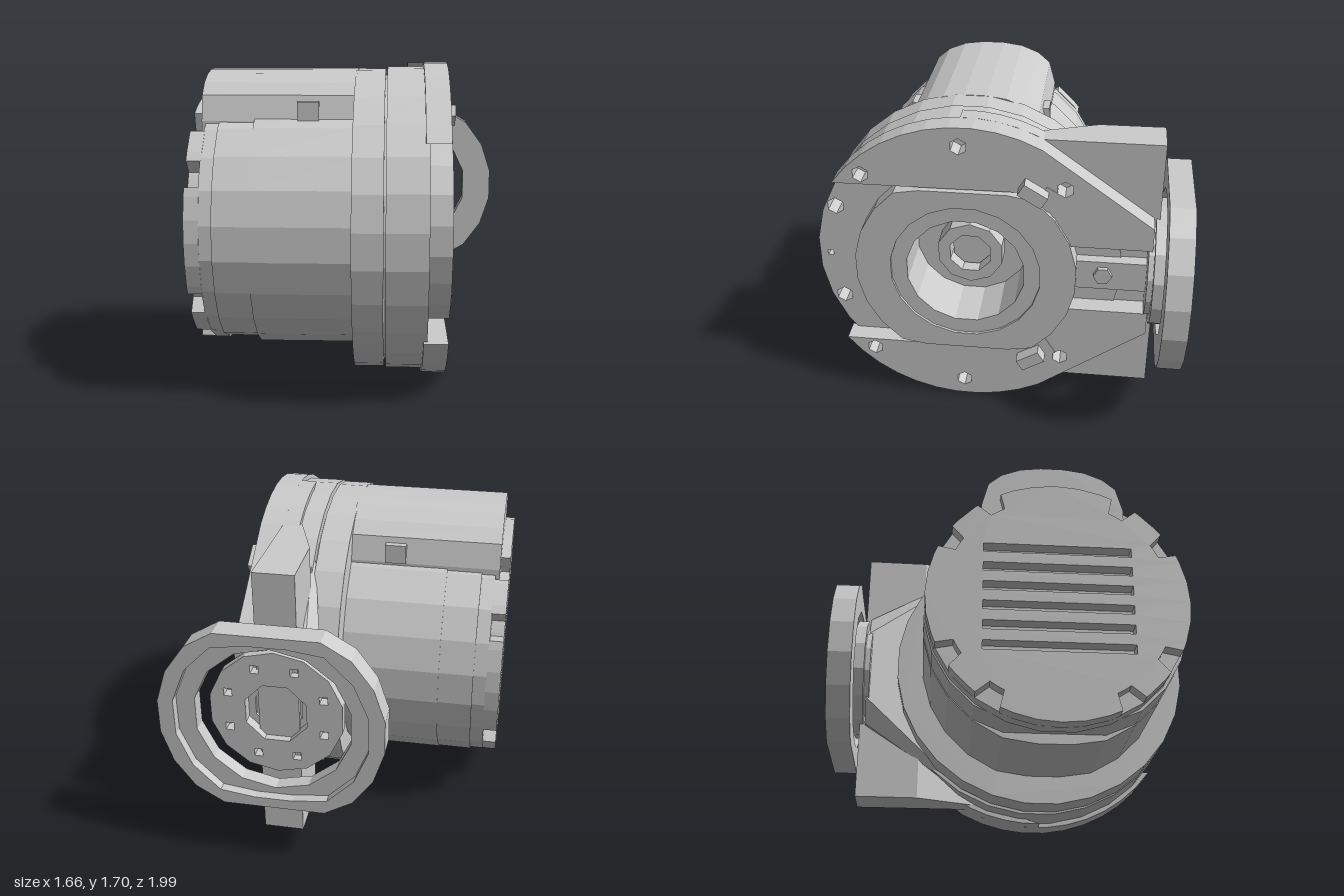
import * as THREE from 'three';
import { ConvexGeometry } from 'three/addons/geometries/ConvexGeometry.js';

const mat = new THREE.MeshStandardMaterial({ color: 0xcccccc, flatShading: true });

function add(parent, name, geometry) {
  const mesh = new THREE.Mesh(geometry, mat);
  mesh.name = name;
  parent.add(mesh);
  return mesh;
}

// Regular polygon, optionally flattened at +-clip
function ngon(r, n, cx = 0, cy = 0, clip = Infinity) {
  return Array.from({ length: n }, (_, i) => {
    const a = ((i + 0.5) / n) * Math.PI * 2;
    const y = Math.max(-clip, Math.min(clip, r * Math.sin(a)));
    return new THREE.Vector2(cx + r * Math.cos(a), cy + y);
  });
}

// Circle segment closed by its chord, mirrored in y by s
function segment(r, a0, a1, n, s) {
  return Array.from({ length: n + 1 }, (_, i) => {
    const a = THREE.MathUtils.lerp(a0, a1, i / n);
    return new THREE.Vector2(r * Math.cos(a), s * r * Math.sin(a));
  });
}

const outlineOf = (points, s = 1) => points.map(([x, y]) => new THREE.Vector2(x, s * y));

// Plate from outline and holes, between two depths
function plate(points, from, to, holes = []) {
  const shape = new THREE.Shape(points);
  for (const h of holes) shape.holes.push(new THREE.Path(h));
  return new THREE.ExtrudeGeometry(shape, { depth: to - from, bevelEnabled: false }).translate(0, 0, from);
}

function hull(rows) {
  return new ConvexGeometry(rows.map(p => new THREE.Vector3(...p)));
}

export function createModel() {
  const model = new THREE.Group();

  // Shaft group: local z runs along the shaft, local x points to the outlet
  const body = new THREE.Group();
  body.name = 'motorAndCasing';
  body.position.set(0, 0.85, 0.17);
  body.rotation.y = Math.PI / 2;
  model.add(body);

  // Motor barrel, cut flatter underneath near the cover
  add(body, 'motorBarrel', plate(ngon(0.685, 24, -0.02, 0, 0.66), -0.51, 0.01));
  add(body, 'barrelEnd', plate(ngon(0.68, 24, -0.02, 0, 0.605), -0.69, -0.51));

  // Terminal box on top
  const half = [[0.375, 0.45], [0.375, 0.57], [0.34, 0.7], [0.27, 0.76], [0.17, 0.8], [0.06, 0.815]];
  const profile = outlineOf([...half, ...half.map(([x, y]) => [-x, y]).reverse()]);
  add(body, 'terminalBox', plate(profile, -0.78, 0.01));
  for (const s of [-1, 1]) {
    add(body, 'boxClip', new THREE.BoxGeometry(0.05, 0.1, 0.11).translate(s * 0.36, 0.62, -0.235));
  }

  // End cover: plain rim, then a notched face with cooling slots
  const cover = new THREE.Group();
  cover.name = 'endCover';
  cover.position.x = -0.015;
  body.add(cover);
  add(cover, 'coverRim', plate(ngon(0.668, 24), -0.76, -0.685));
  const notches = [30, 58, 122, 150, 210, 238, 302, 330];
  const outline = [];
  for (let a = 0; a < 360; a += 2) {
    const inNotch = notches.some(n => Math.abs(a - n) <= 4);
    const edge = notches.some(n => Math.abs(a - n) === 6);
    if (!inNotch && !edge && a % 10) continue;
    const r = inNotch ? 0.58 : 0.668;
    const t = THREE.MathUtils.degToRad(a);
    outline.push(new THREE.Vector2(r * Math.cos(t), r * Math.sin(t)));
  }
  const slots = [];
  for (let i = 0; i < 6; i++) {
    const y = -0.3 + i * 0.11;
    slots.push(outlineOf([[-0.38, y], [0.38, y], [0.38, y + 0.05], [-0.38, y + 0.05]]));
  }
  add(cover, 'slottedCover', plate(outline, -0.83, -0.755, slots));

  // Two round flanges with a thin gap, joined by a core
  add(body, 'motorFlange', plate(ngon(0.818, 28, -0.01), 0, 0.155));
  add(body, 'flangeCore', plate(ngon(0.78, 28), 0.15, 0.17));
  const discHoles = [[-0.71, 0.3], [-0.71, -0.28]].map(([x, y]) => ngon(0.048, 6, x, y));
  discHoles.push(ngon(0.022, 4, -0.765, 0));
  add(body, 'casingDisc', plate(ngon(0.828, 28), 0.165, 0.375, [ngon(0.32, 16), ...discHoles]));

  for (const s of [-1, 1]) {
    // Raised pad running on into the outlet cheek as one flat face
    const arc = segment(0.85, 1.08, Math.PI - 0.631, 10, s);
    const cheek = outlineOf([[0.28, 0.505], [0.36, 0.46], [0.45, 0.39], [0.56, 0.2], [0.98, 0.2], [0.98, 0.33]], s);
    const holes = [[-0.02, 0.745], [-0.53, 0.56], [0.52, 0.535]].map(([x, y]) => ngon(0.045, 6, x, s * y));
    add(body, s > 0 ? 'upperPad' : 'lowerPad', plate([...arc, ...cheek], 0.355, 0.48, holes));
    add(body, 'padBacking', plate(segment(0.85, 0.9, 1.6, 6, s), 0.27, 0.36));

    // Angled lug where the pad meets the cheek
    const lug = add(body, 'lug', new THREE.BoxGeometry(0.14, 0.07, 0.18));
    lug.position.set(0.36, s * 0.525, 0.465);
    lug.rotation.z = s * -0.55;
    const ear = add(body, 'lugEar', new THREE.BoxGeometry(0.08, 0.12, 0.1));
    ear.position.set(0.43, s * 0.475, 0.435);
    ear.rotation.z = s * -0.55;
  }

  // Inlet boss with a stepped bore
  add(body, 'inletBoss', plate(ngon(0.595, 24, 0, 0, 0.495), 0.37, 0.5, [ngon(0.405, 20)]));
  add(body, 'inletStep', plate(ngon(0.41, 20), 0.37, 0.485, [ngon(0.32, 16)]));
  add(body, 'shaftHub', plate(ngon(0.185, 10), 0.15, 0.3, [ngon(0.12, 8)]));
  add(body, 'shaftNut', plate(ngon(0.11, 8), 0.15, 0.24));

  // Side slab reaching back beside the outlet
  const slab = [], neck = [];
  for (const y of [0.1, 1.6]) {
    slab.push([0.15, y, -0.84], [0.36, y, -0.84], [0.155, y, -0.5], [0.27, y, -0.18], [0.36, y, -0.18]);
  }
  add(model, 'sideSlab', hull(slab));

  // Neck tapering from the casing to the outlet
  for (const s of [-1, 1]) {
    neck.push([0.2, 0.85 + s * 0.73, -0.2], [0.365, 0.85 + s * 0.73, -0.2]);
    neck.push([0.04, 0.85 + s * 0.2, -0.81], [0.12, 0.85 + s * 0.33, -0.81]);
    neck.push([0.365, 0.85 + s * 0.33, -0.81]);
  }
  add(model, 'outletNeck', hull(neck));

  // Rib and bolt in the recess between the cheeks
  add(model, 'neckRib', new THREE.BoxGeometry(0.1, 0.17, 0.43).translate(0.385, 0.85, -0.59));
  add(model, 'neckBolt', new THREE.CylinderGeometry(0.05, 0.05, 0.06, 6).rotateZ(Math.PI / 2).translate(0.43, 0.86, -0.56));

  // Outlet hub and its loose ring flange
  const outlet = new THREE.Group();
  outlet.name = 'outlet';
  outlet.position.set(0.26, 0.85, 0);
  model.add(outlet);
  const hubHoles = [];
  for (let i = 0; i < 8; i++) {
    const a = ((i + 0.5) / 8) * Math.PI * 2;
    hubHoles.push(ngon(0.03, 4, 0.265 * Math.cos(a), 0.265 * Math.sin(a)));
  }
  add(outlet, 'hubFace', plate(ngon(0.348, 14), -0.88, -0.82, [ngon(0.17, 8), ...hubHoles]));
  add(outlet, 'hubBase', plate(ngon(0.3, 14), -0.82, -0.79, [ngon(0.13, 8)]));
  add(outlet, 'ringFlange', plate(ngon(0.578, 20, 0, 0, 0.495), -0.95, -0.87, [ngon(0.405, 14)]));
  add(outlet, 'ringLip', plate(ngon(0.578, 20, 0, 0, 0.495), -1, -0.95, [ngon(0.5, 16, 0, 0, 0.44)]));

  return model;
}
